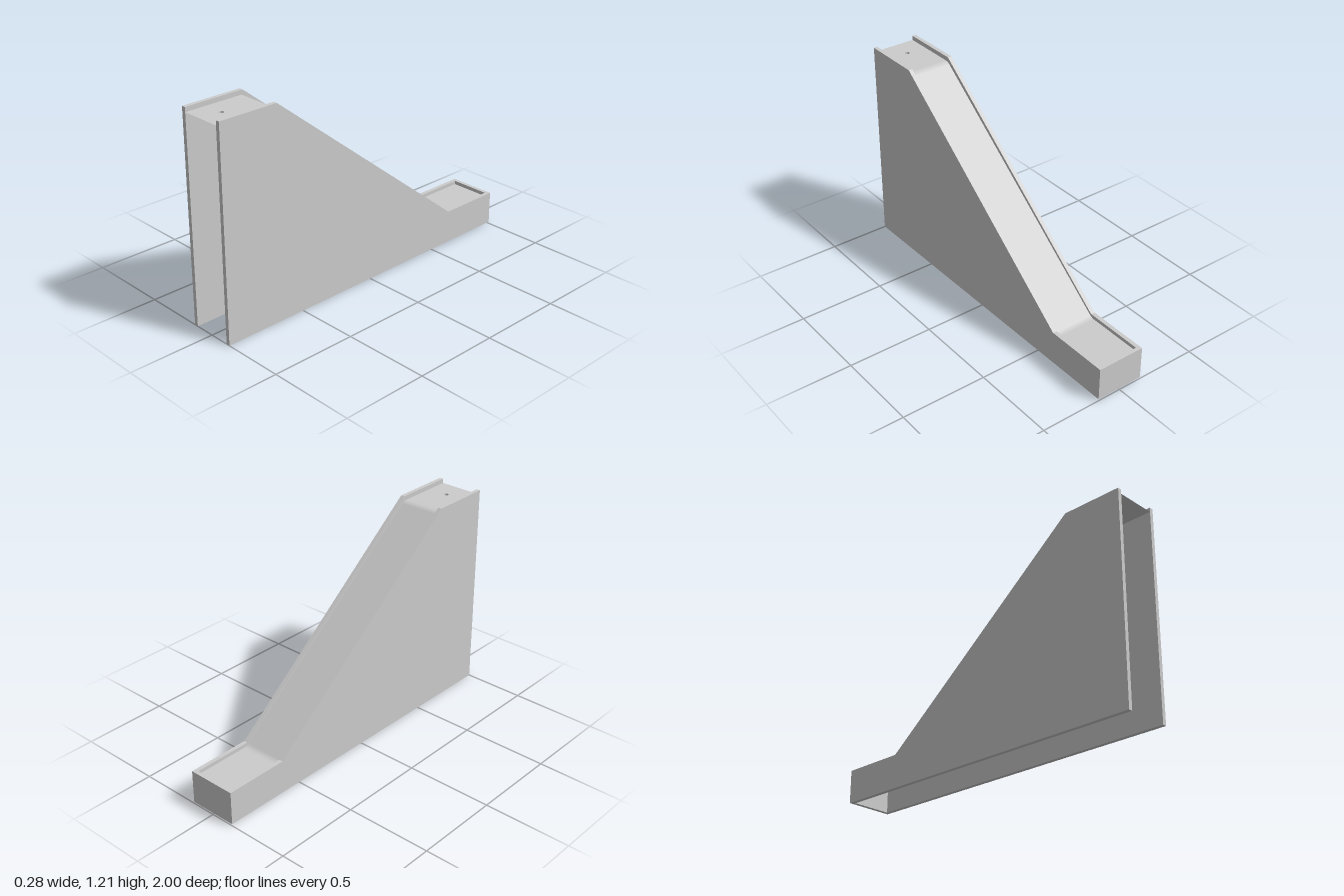
import * as THREE from 'three';

const INNER = 0.119, OUTER = 0.142; // half widths inside and outside the side walls
const DECK = 1.187, TRAY = 0.182;   // heights of the two flat parts of the bed
const HOLE_Z = 0.875, HOLE_R = 0.013;

export function createModel() {
  const group = new THREE.Group();
  const grey = new THREE.MeshStandardMaterial({ color: 0xcccccc });
  const sheet = new THREE.MeshStandardMaterial({ color: 0xcccccc, side: THREE.DoubleSide });
  const add = (name, geometry, material = grey) => {
    const mesh = new THREE.Mesh(geometry, material);
    mesh.name = name;
    group.add(mesh);
    return mesh;
  };

  // Side walls: outline in (-z, y), extruded across x
  const outline = new THREE.Shape(
    [[-1, 0], [1, 0.01], [1, 0.203], [0.628, 0.203], [-0.647, 1.213], [-1, 1.213]]
      .map(([x, y]) => new THREE.Vector2(x, y)));
  for (const [name, x] of [['leftWall', INNER], ['rightWall', -OUTER]]) {
    const geo = new THREE.ExtrudeGeometry(outline, { depth: OUTER - INNER, bevelEnabled: false });
    geo.rotateY(Math.PI / 2).translate(x, 0, 0);
    add(name, geo);
  }

  // End wall closing the low tray
  add('endWall', new THREE.BoxGeometry(INNER * 2, 0.193, 0.022).translate(0, 0.1065, -0.989));

  // Top deck with a round hole
  const deck = new THREE.Shape();
  deck.moveTo(-INNER, -1).lineTo(INNER, -1).lineTo(INNER, -0.68).lineTo(-INNER, -0.68).closePath();
  const hole = new THREE.Path();
  hole.absarc(0, -HOLE_Z, HOLE_R, 0, Math.PI * 2, true);
  deck.holes.push(hole);
  add('topDeck', new THREE.ShapeGeometry(deck, 16).rotateX(-Math.PI / 2).translate(0, DECK, 0), sheet);

  // Shallow blind hole beneath the deck
  const depth = 0.012;
  add('pocketWall', new THREE.CylinderGeometry(HOLE_R, HOLE_R, depth, 24, 1, true)
    .translate(0, DECK - depth / 2, HOLE_Z), sheet);
  add('pocketFloor', new THREE.CircleGeometry(HOLE_R, 24).rotateX(-Math.PI / 2)
    .translate(0, DECK - depth, HOLE_Z), sheet);

  // Slide bed: thin sheet following the slope, with a soft bend at each end
  const p = (z, y) => new THREE.Vector2(z, y);
  const top = p(0.65, DECK), low = p(-0.635, TRAY);
  const dir = low.clone().sub(top).normalize().multiplyScalar(0.02);
  const bend = (a, b, c) => new THREE.QuadraticBezierCurve(a, b, c).getPoints(6);
  const path = [
    p(0.68, DECK),
    ...bend(p(0.67, DECK), top, top.clone().add(dir)),
    ...bend(low.clone().sub(dir), low, p(-0.655, TRAY)),
    p(-0.98, TRAY),
  ];
  const bed = new THREE.PlaneGeometry(INNER * 2, 1, 1, path.length - 1);
  const pos = bed.attributes.position;
  for (let i = 0; i < pos.count; i++) {
    // rows run from the deck to the tray; mirror x so the face looks up
    const q = path[Math.floor(i / 2)];
    pos.setXYZ(i, -pos.getX(i), q.y, q.x);
  }
  bed.computeVertexNormals();
  add('slideBed', bed, sheet);

  return group;
}
